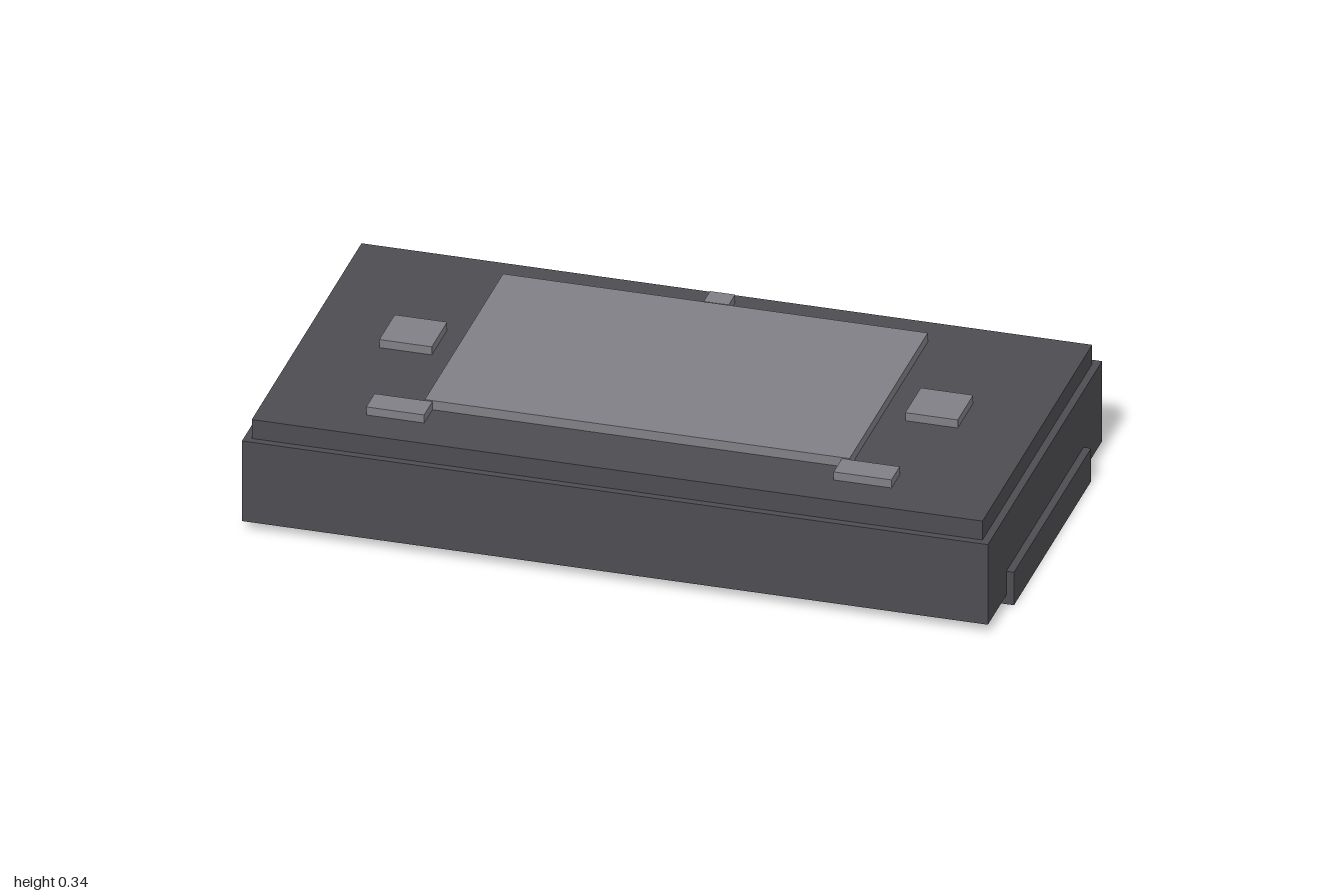
import * as THREE from 'three';

export function createModel() {
  const model = new THREE.Group();
  model.name = 'component';
  const casing = new THREE.MeshStandardMaterial({ name: 'dark grey casing', color: 0x4d4c50 });
  const plate = new THREE.MeshStandardMaterial({ name: 'light grey plate', color: 0x807f85 });

  // Box given by its extents on each axis
  const block = (name, material, [x0, x1], [y0, y1], [z0, z1], parent = model) => {
    const mesh = new THREE.Mesh(new THREE.BoxGeometry(x1 - x0, y1 - y0, z1 - z0), material);
    mesh.position.set((x0 + x1) / 2, (y0 + y1) / 2, (z0 + z1) / 2);
    mesh.name = name;
    parent.add(mesh);
  };

  // Main body and the slightly smaller lid
  block('body', casing, [-0.98, 0.98], [0.026, 0.255], [-0.51, 0.51]);
  block('lid', casing, [-0.96, 0.96], [0.255, 0.309], [-0.49, 0.49]);

  // Raised plates on the lid
  block('centrePlate', plate, [-0.558, 0.558], [0.309, 0.335], [-0.388, 0.311]);
  block('backTab', plate, [-0.033, 0.033], [0.309, 0.332], [-0.452, -0.395]);

  // Mirrored tabs and L-shaped end brackets
  for (const side of [-1, 1]) {
    const label = side > 0 ? 'left' : 'right';
    const span = (a, b) => (side > 0 ? [a, b] : [-b, -a]);
    block(label + 'SideTab', plate, span(0.622, 0.76), [0.309, 0.332], [-0.107, 0.031]);
    block(label + 'FrontTab', plate, span(0.538, 0.69), [0.309, 0.332], [0.311, 0.385]);

    const bracket = new THREE.Group();
    bracket.name = label + 'Bracket';
    block(label + 'Foot', casing, span(0.772, 0.98), [0, 0.026], [-0.345, 0.345], bracket);
    block(label + 'EndLip', casing, span(0.98, 1), [0, 0.094], [-0.345, 0.345], bracket);
    model.add(bracket);
  }
  return model;
}
